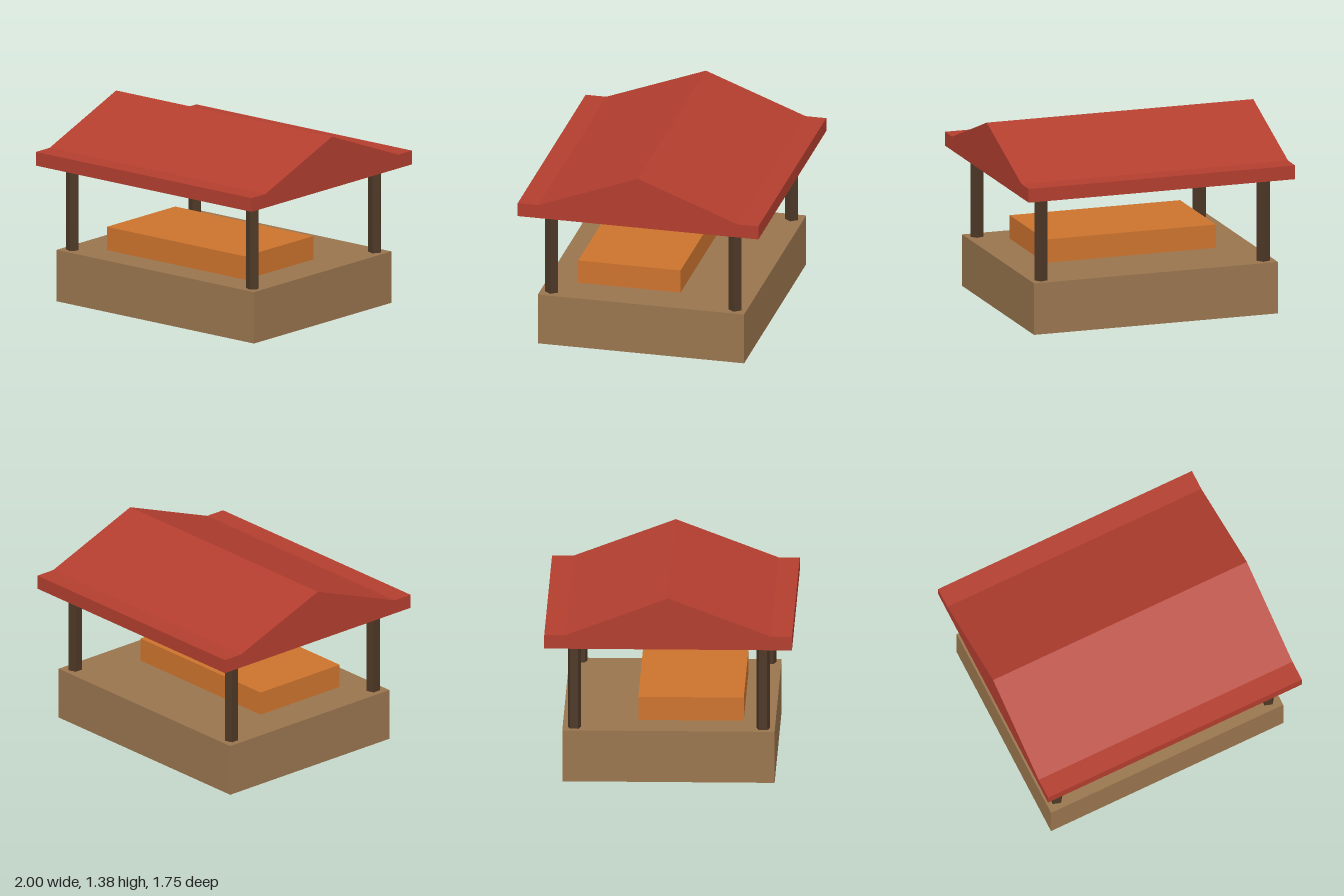
import * as THREE from 'three';

const material = (name, color) => {
  const m = new THREE.MeshStandardMaterial({ color });
  m.name = name;
  return m;
};

export function createModel() {
  const group = new THREE.Group();
  const stone = material('tan base', 0x99754e);
  const orange = material('orange wood', 0xcc732d);
  const darkWood = material('dark wood', 0x4d3826);
  const red = material('red roof', 0xb33e2f);
  darkWood.flatShading = true;

  const add = (name, geometry, mat, x, y, z) => {
    const mesh = new THREE.Mesh(geometry, mat);
    mesh.name = name;
    mesh.position.set(x, y, z);
    group.add(mesh);
    return mesh;
  };

  // Base block and the low counter, set a little forward
  add('base', new THREE.BoxGeometry(1.83, 0.375, 1.5), stone, 0, 0.1875, 0);
  add('counter', new THREE.BoxGeometry(1.28, 0.17, 0.745), orange, 0, 0.46, 0.152);

  // Five-sided corner posts, one edge facing +x
  const postGeometry = new THREE.CylinderGeometry(0.049, 0.049, 1, 5);
  postGeometry.rotateY(Math.PI / 2);
  for (const x of [-0.834, 0.834]) {
    for (const z of [-0.667, 0.667]) add('post', postGeometry, darkWood, x, 0.5, z);
  }

  // Roof: flat eaves and gable in one profile, extruded along x
  const profile = new THREE.Shape([
    [-0.875, 1], [0.875, 1], [0.875, 1.1], [0.725, 1.1],
    [0, 1.375], [-0.725, 1.1], [-0.875, 1.1],
  ].map(([z, y]) => new THREE.Vector2(z, y)));
  const roofGeometry = new THREE.ExtrudeGeometry(profile, { depth: 2, bevelEnabled: false });
  roofGeometry.translate(0, 0, -1);
  roofGeometry.rotateY(Math.PI / 2);
  add('roof', roofGeometry, red, 0, 0, 0);

  return group;
}
